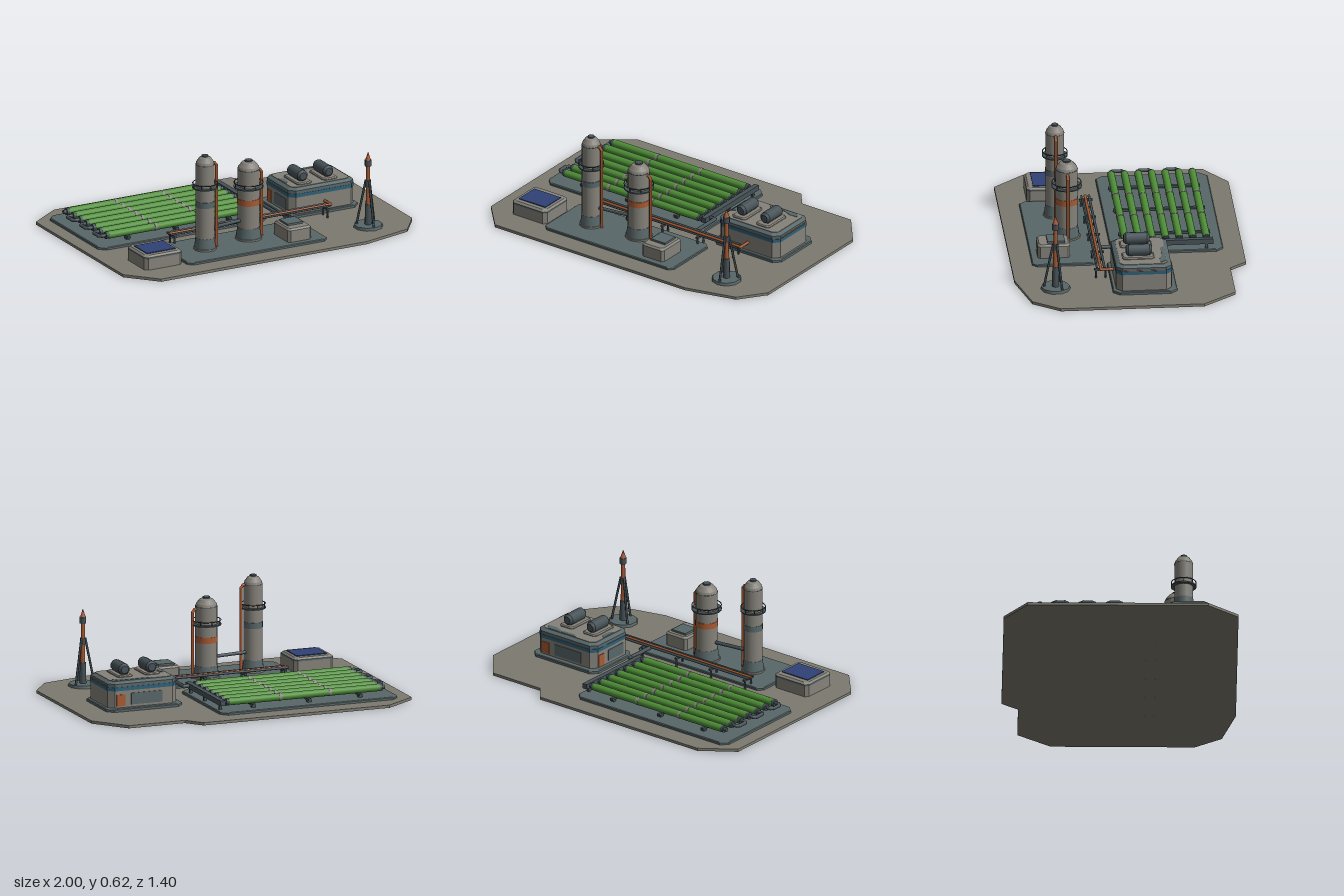
import * as THREE from 'three';

const mat = (name, color) => Object.assign(new THREE.MeshStandardMaterial({ color }), { name });
const M = {
  ground: mat('concrete', 0x7d7b70), grey: mat('warm grey', 0x85827a), slate: mat('slate', 0x586769),
  dark: mat('dark metal', 0x465257), green: mat('algae green', 0x4f8f38), orange: mat('rust orange', 0xa85a32),
  blue: mat('stripe blue', 0x2f6078), solar: mat('solar blue', 0x2f4176), band: mat('clamp grey', 0x8c8387),
};

export function createModel() {
  const root = new THREE.Group();
  const add = (name, geo, m, x = 0, y = 0, z = 0, parent = root) => {
    const o = new THREE.Mesh(geo, m);
    o.name = name;
    o.position.set(x, y, z);
    parent.add(o);
    return o;
  };
  const box = (name, m, x0, x1, y0, y1, z0, z1) =>
    add(name, new THREE.BoxGeometry(x1 - x0, y1 - y0, z1 - z0), m, (x0 + x1) / 2, (y0 + y1) / 2, (z0 + z1) / 2);
  const V = (p) => new THREE.Vector3(...p);

  // cylinder between two points
  const rod = (name, m, a, b, r, seg = 8, r2 = r) => {
    const p = V(a), q = V(b);
    const o = add(name, new THREE.CylinderGeometry(r2, r, p.distanceTo(q), seg), m);
    o.position.copy(p).lerp(q, 0.5);
    o.quaternion.setFromUnitVectors(new THREE.Vector3(0, 1, 0), q.sub(p).normalize());
    return o;
  };
  // pipe with round elbows
  const pipe = (name, m, pts, r) => pts.forEach((p, i) => {
    if (i) rod(name, m, pts[i - 1], p, r);
    if (i && i < pts.length - 1) add(name + 'Elbow', new THREE.SphereGeometry(r * 1.1, 8, 6), m, ...p);
  });
  // flat polygon plate, points given as x, z
  const plate = (name, m, pts, y, h) => {
    const s = new THREE.Shape(pts.map(([x, z]) => new THREE.Vector2(x, -z)));
    return add(name, new THREE.ExtrudeGeometry(s, { depth: h, bevelEnabled: false }).rotateX(-Math.PI / 2), m, 0, y, 0);
  };
  // corner-chamfered block lofted through sections of [y, inset]
  const block = (name, m, x0, x1, z0, z1, c, sections) => {
    const ring = ([y, i]) => {
      const a = x0 + i, b = x1 - i, n = z0 + i, f = z1 - i;
      return [[b, n + c], [b - c, n], [a + c, n], [a, n + c], [a, f - c], [a + c, f], [b - c, f], [b, f - c]]
        .map(([x, z]) => [x, y, z]);
    };
    const pos = [], rings = sections.map(ring), top = rings[rings.length - 1];
    const mid = [(x0 + x1) / 2, top[0][1], (z0 + z1) / 2];
    for (let k = 0; k < 8; k++) {
      const j = (k + 1) % 8;
      for (let s = 1; s < rings.length; s++) {
        const lo = rings[s - 1], up = rings[s];
        pos.push(...lo[k], ...lo[j], ...up[j], ...lo[k], ...up[j], ...up[k]);
      }
      pos.push(...mid, ...top[k], ...top[j]);
    }
    const g = new THREE.BufferGeometry();
    g.setAttribute('position', new THREE.Float32BufferAttribute(pos, 3));
    g.computeVertexNormals();
    return add(name, g, m);
  };

  // ground slab and pads
  plate('groundSlab', M.ground, [[-1, -0.56], [-0.8, -0.7], [0.4, -0.7], [0.48, -0.6], [0.84, -0.6], [1, -0.4],
    [1, 0.46], [0.88, 0.62], [0.56, 0.7], [-0.84, 0.7], [-1, 0.52]], 0, 0.017);
  block('reactorPad', M.slate, -0.915, 0.23, -0.58, 0.09, 0.04, [[0.015, 0], [0.029, 0], [0.033, 0.005]]);
  block('towerPad', M.slate, -0.58, 0.37, 0.18, 0.575, 0.03, [[0.015, 0], [0.028, 0], [0.032, 0.005]]);
  block('buildingPad', M.slate, 0.34, 0.83, -0.255, 0.13, 0.04, [[0.015, 0], [0.031, 0], [0.035, 0.005]]);

  // algae tubes with caps, clamps and return bends
  const rows = [0, 1, 2, 3, 4, 5, 6].map((i) => -0.485 + i * 0.081);
  const ty = 0.077;
  rows.forEach((z, i) => {
    rod('algaeTube', M.green, [-0.82, ty, z], [0.155, ty, z], 0.023, 12);
    for (const x of [-0.5, -0.18]) rod('tubeClamp', M.band, [x - 0.008, ty, z], [x + 0.008, ty, z], 0.025, 12);
    for (const x of [-0.825, 0.158]) rod('tubeCollar', M.dark, [x - 0.012, ty, z], [x + 0.012, ty, z], 0.022, 12);
    rod('tubeOutlet', M.dark, [0.15, ty, z], [0.2, ty, z], 0.013);
    if (i === 0) rod('tubeInlet', M.dark, [-0.855, ty, z], [-0.82, ty, z], 0.013);
    if (i % 2) pipe('returnBend', M.dark, [[-0.82, ty, z], [-0.86, ty, z], [-0.875, ty, z + 0.015],
      [-0.875, ty, z + 0.066], [-0.86, ty, z + 0.081], [-0.82, ty, z + 0.081]], 0.011);
  });
  for (const x of [-0.69, -0.36, 0]) {
    box('tubeRail', M.dark, x - 0.01, x + 0.01, 0.043, 0.056, -0.52, 0.03);
    for (const z of [-0.5, -0.24, 0.01]) box('railFoot', M.dark, x - 0.012, x + 0.012, 0.03, 0.045, z - 0.012, z + 0.012);
  }
  box('manifold', M.dark, 0.186, 0.218, 0.062, 0.094, -0.52, 0.02);
  for (const z of [-0.48, -0.24, -0.02]) box('manifoldLeg', M.dark, 0.194, 0.21, 0.03, 0.063, z - 0.008, z + 0.008);
  pipe('manifoldPipe', M.dark, [[0.21, 0.08, -0.03], [0.25, 0.08, -0.03], [0.25, 0.08, 0.165]], 0.012);

  // pipe rack
  pipe('feedPipe', M.orange, [[-0.505, 0.087, 0.185], [0.597, 0.087, 0.185], [0.597, 0.087, 0.1]], 0.009);
  rod('rackPipe', M.dark, [-0.505, 0.087, 0.162], [0.58, 0.087, 0.162], 0.008);
  rod('rackPipe', M.dark, [-0.505, 0.087, 0.207], [0.58, 0.087, 0.207], 0.006);
  for (const x of [-0.48, -0.22, 0.04, 0.3, 0.56]) {
    box('rackBeam', M.dark, x - 0.008, x + 0.008, 0.066, 0.078, 0.143, 0.222);
    for (const z of [0.155, 0.212]) rod('rackLeg', M.dark, [x, 0.0, z], [x, 0.07, z], 0.006, 6);
  }

  // distillation towers
  const tower = (x, z, r, top, bandY, bandH, bandMat, ringY, ringR, pipeTop) => {
    const prof = [[r * 1.0, 0.1], [r, top - 0.055], [r * 0.93, top - 0.04], [r * 0.62, top - 0.015], [r * 0.36, top - 0.008]];
    const seg = (pts) => pts.slice(1).forEach(([r1, y1], i) => {
      const [r0, y0] = pts[i];
      add('towerShell', new THREE.CylinderGeometry(r1, r0, y1 - y0, 20, 1, true), M.grey, x, (y0 + y1) / 2, z);
    });
    seg(prof);
    rod('towerCap', M.dark, [x, top - 0.015, z], [x, top, z], r * 0.36, 12);
    rod('towerSkirt', M.slate, [x, 0.03, z], [x, 0.105, z], r * 1.18, 20, r * 1.02);
    rod('towerFlange', M.grey, [x, 0.03, z], [x, 0.042, z], r * 1.25, 20);
    rod('towerSeam', M.dark, [x, top - 0.059, z], [x, top - 0.055, z], r * 1.02, 20);
    rod('towerBand', bandMat, [x, bandY, z], [x, bandY + bandH, z], r * 1.04, 20);
    // service walkway
    rod('walkway', M.dark, [x, ringY - 0.008, z], [x, ringY, z], ringR, 16);
    add('walkwayRail', new THREE.TorusGeometry(ringR - 0.003, 0.003, 5, 20).rotateX(Math.PI / 2), M.dark, x, ringY + 0.022, z);
    for (let k = 0; k < 8; k++) {
      const a = k * Math.PI / 4, px = x + Math.cos(a) * (ringR - 0.003), pz = z + Math.sin(a) * (ringR - 0.003);
      rod('railPost', M.dark, [px, ringY - 0.004, pz], [px, ringY + 0.022, pz], 0.0025, 5);
    }
    const px = x + r + 0.022;
    pipe('downPipe', M.orange, [[x + r * 0.7, pipeTop + 0.015, z], [px - 0.012, pipeTop + 0.012, z], [px, pipeTop - 0.005, z],
      [px, 0.03, z]], 0.009);
  };
  tower(-0.365, 0.378, 0.056, 0.622, 0.3, 0.036, M.slate, 0.425, 0.077, 0.55);
  tower(-0.045, 0.335, 0.066, 0.525, 0.25, 0.036, M.orange, 0.362, 0.091, 0.44);
  rod('towerLink', M.dark, [-0.33, 0.152, 0.372], [-0.08, 0.152, 0.338], 0.011);

  // pump cabinet
  block('pumpCabinet', M.grey, 0.118, 0.278, 0.34, 0.535, 0.015, [[0.03, 0], [0.105, 0], [0.116, 0.01]]);
  box('cabinetHatch', M.slate, 0.145, 0.25, 0.11, 0.128, 0.37, 0.475);

  // battery house with solar panel
  block('batteryHouse', M.grey, -0.85, -0.595, 0.285, 0.525, 0.02, [[0.015, 0], [0.085, 0]]);
  block('batteryStripe', M.slate, -0.85, -0.595, 0.285, 0.525, 0.02, [[0.085, 0], [0.095, 0]]);
  block('batteryRoof', M.grey, -0.85, -0.595, 0.285, 0.525, 0.02, [[0.095, 0], [0.106, 0.012]]);
  box('solarPanel', M.solar, -0.82, -0.625, 0.104, 0.111, 0.328, 0.486);

  // control building
  const B = [0.368, 0.81, -0.222, 0.11, 0.035];
  block('buildingWalls', M.grey, ...B, [[0.03, 0], [0.138, 0]]);
  block('buildingStripe', M.blue, ...B, [[0.138, -0.002], [0.16, -0.002]]);
  block('buildingParapet', M.slate, ...B, [[0.16, 0], [0.18, 0], [0.192, 0.018]]);
  block('buildingRoof', M.grey, 0.392, 0.786, -0.198, 0.086, 0.025, [[0.185, 0], [0.195, 0]]);
  box('wallTrim', M.orange, 0.805, 0.812, 0.163, 0.167, -0.185, 0.075);
  box('backPanel', M.orange, 0.71, 0.765, 0.045, 0.115, -0.226, -0.218);
  box('backWindow', M.slate, 0.47, 0.67, 0.05, 0.12, -0.226, -0.218);
  box('sideDoor', M.orange, 0.364, 0.372, 0.04, 0.115, -0.18, -0.13);
  box('sideWindow', M.slate, 0.364, 0.372, 0.05, 0.12, -0.09, 0.05);
  plate('roofPatch', M.slate, [[0.53, -0.195], [0.74, -0.195], [0.77, -0.16], [0.71, -0.155], [0.66, -0.175], [0.56, -0.17]], 0.194, 0.003);
  plate('roofPatch', M.slate, [[0.394, -0.1], [0.425, -0.08], [0.42, -0.02], [0.394, 0]], 0.194, 0.003);

  // rooftop tanks on plinths
  for (const x of [0.49, 0.665]) {
    block('tankPlinth', M.grey, x - 0.05, x + 0.05, -0.125, 0.065, 0.015, [[0.19, 0], [0.2, 0], [0.206, 0.006]]);
    rod('roofTank', M.dark, [x, 0.237, -0.098], [x, 0.237, 0.028], 0.036, 10);
    rod('tankEnd', M.dark, [x, 0.237, 0.028], [x, 0.237, 0.042], 0.036, 10, 0.024);
    rod('tankEnd', M.dark, [x, 0.237, -0.098], [x, 0.237, -0.112], 0.036, 10, 0.024);
  }

  // beacon mast
  const mx = 0.697, mz = 0.466;
  rod('mastBase', M.slate, [mx, 0.015, mz], [mx, 0.034, mz], 0.09, 10, 0.086);
  rod('mastFoot', M.dark, [mx, 0.03, mz], [mx, 0.16, mz], 0.022, 8, 0.019);
  rod('mastPole', M.orange, [mx, 0.16, mz], [mx, 0.41, mz], 0.015, 8, 0.012);
  rod('mastSleeve', M.dark, [mx, 0.27, mz], [mx, 0.31, mz], 0.018, 8);
  rod('mastCollar', M.dark, [mx, 0.4, mz], [mx, 0.437, mz], 0.021, 8);
  rod('beacon', M.orange, [mx, 0.437, mz], [mx, 0.485, mz], 0.018, 8, 0.002);
  for (let k = 0; k < 3; k++) {
    const a = Math.PI / 2 + k * Math.PI * 2 / 3, c = Math.cos(a), s = Math.sin(a);
    rod('mastLeg', M.dark, [mx + c * 0.07, 0.03, mz + s * 0.07], [mx + c * 0.014, 0.31, mz + s * 0.014], 0.007, 6);
  }
  return root;
}
